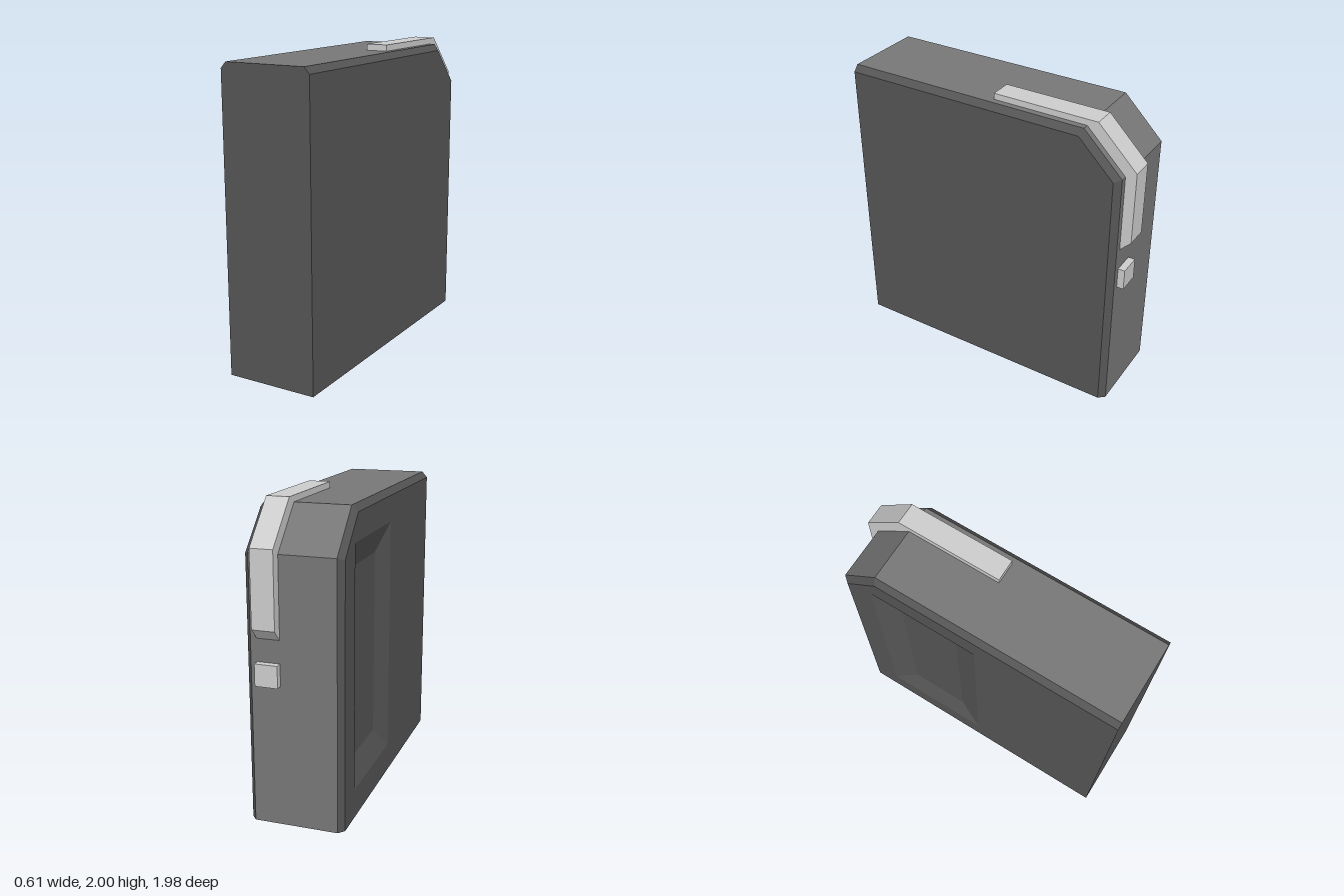
import * as THREE from 'three';

const S = 0.305, W = 0.27, D = 0.055; // half width, half width inside the bevel, recess depth

// Edge profile and its inset copy on the flat sides, as [z, y]
const OUTER = [[0.99, 0], [0.99, 1.96], [-0.66, 1.96], [-0.92, 1.7], [-0.92, 0]];
const INNER = [[0.99, 0], [0.99, 1.92], [-0.645, 1.92], [-0.88, 1.685], [-0.88, 0]];

// Flat-faced geometry from convex polygons of [x, y, z] corners
function faces(polys) {
  const pos = [];
  for (const p of polys)
    for (let i = 1; i < p.length - 1; i++) pos.push(...p[0], ...p[i], ...p[i + 1]);
  const g = new THREE.BufferGeometry();
  g.setAttribute('position', new THREE.Float32BufferAttribute(pos, 3));
  g.computeVertexNormals();
  return g;
}

const at = (x, [z, y]) => [x, y, z];
const toShape = (pts, sign) => new THREE.Shape(pts.map(([z, y]) => new THREE.Vector2(sign * z, y)));

export function createModel() {
  const model = new THREE.Group();
  const shell = new THREE.MeshStandardMaterial({ color: 0x555555 });
  const spine = new THREE.MeshStandardMaterial({ color: 0x777777 });
  const metal = new THREE.MeshStandardMaterial({ color: 0xcccccc });
  shell.name = 'darkShell';
  spine.name = 'greySpine';
  metal.name = 'lightMetal';

  const add = (name, geometry, material) => {
    const mesh = new THREE.Mesh(geometry, material);
    mesh.name = name;
    model.add(mesh);
    return mesh;
  };

  // Top, sloped corner and back, with bevels on both sides
  const strips = [], bevels = [];
  for (let i = 1; i < 4; i++) {
    strips.push([at(W, OUTER[i]), at(W, OUTER[i + 1]), at(-W, OUTER[i + 1]), at(-W, OUTER[i])]);
    for (const m of [1, -1]) {
      const b = [at(m * S, INNER[i]), at(m * S, INNER[i + 1]), at(m * W, OUTER[i + 1]), at(m * W, OUTER[i])];
      bevels.push(m > 0 ? b : b.reverse());
    }
  }
  add('topAndBack', faces(strips), spine);
  add('bevels', faces(bevels), shell);

  // Front and underside
  add('front', faces([[[-S, 0, 0.99], [S, 0, 0.99], [S, 1.92, 0.99], [W, 1.96, 0.99], [-W, 1.96, 0.99], [-S, 1.92, 0.99]]]), shell);
  add('underside', faces([[[-S, 0, -0.88], [-W, 0, -0.92], [W, 0, -0.92], [S, 0, -0.88], [S, 0, 0.99], [-S, 0, 0.99]]]), shell);

  // Plain left side
  add('leftSide', new THREE.ShapeGeometry(toShape(INNER, -1)).rotateY(Math.PI / 2).translate(S, 0, 0), shell);

  // Right side with a sloped rectangular recess
  const rect = (z0, z1, y0, y1) => [[z0, y0], [z1, y0], [z1, y1], [z0, y1]];
  const rim = rect(-0.7, 0.04, 0.19, 1.75), floor = rect(-0.53, -0.13, 0.36, 1.58);
  const side = toShape(INNER, 1);
  side.holes.push(toShape(rim, 1));
  add('rightSide', new THREE.ShapeGeometry(side).rotateY(-Math.PI / 2).translate(-S, 0, 0), shell);
  const recess = [floor.map(p => at(D - S, p))];
  for (let i = 0; i < 4; i++) {
    const j = (i + 1) % 4;
    recess.push([at(-S, rim[i]), at(-S, rim[j]), at(D - S, floor[j]), at(D - S, floor[i])]);
  }
  add('recess', faces(recess), shell);

  // Clip bent over the back corner
  const clip = toShape([[-0.03, 1.96], [-0.03, 2], [-0.73, 2], [-0.99, 1.74], [-0.99, 1.26],
    [-0.92, 1.19], [-0.92, 1.7], [-0.66, 1.96]], -1);
  add('clip', new THREE.ExtrudeGeometry(clip, { depth: 0.145, bevelEnabled: false })
    .rotateY(Math.PI / 2).translate(0.085, 0, 0), metal);

  // Small button under the clip
  add('button', new THREE.BoxGeometry(0.145, 0.14, 0.045), metal).position.set(0.1575, 0.975, -0.9425);

  return model;
}
